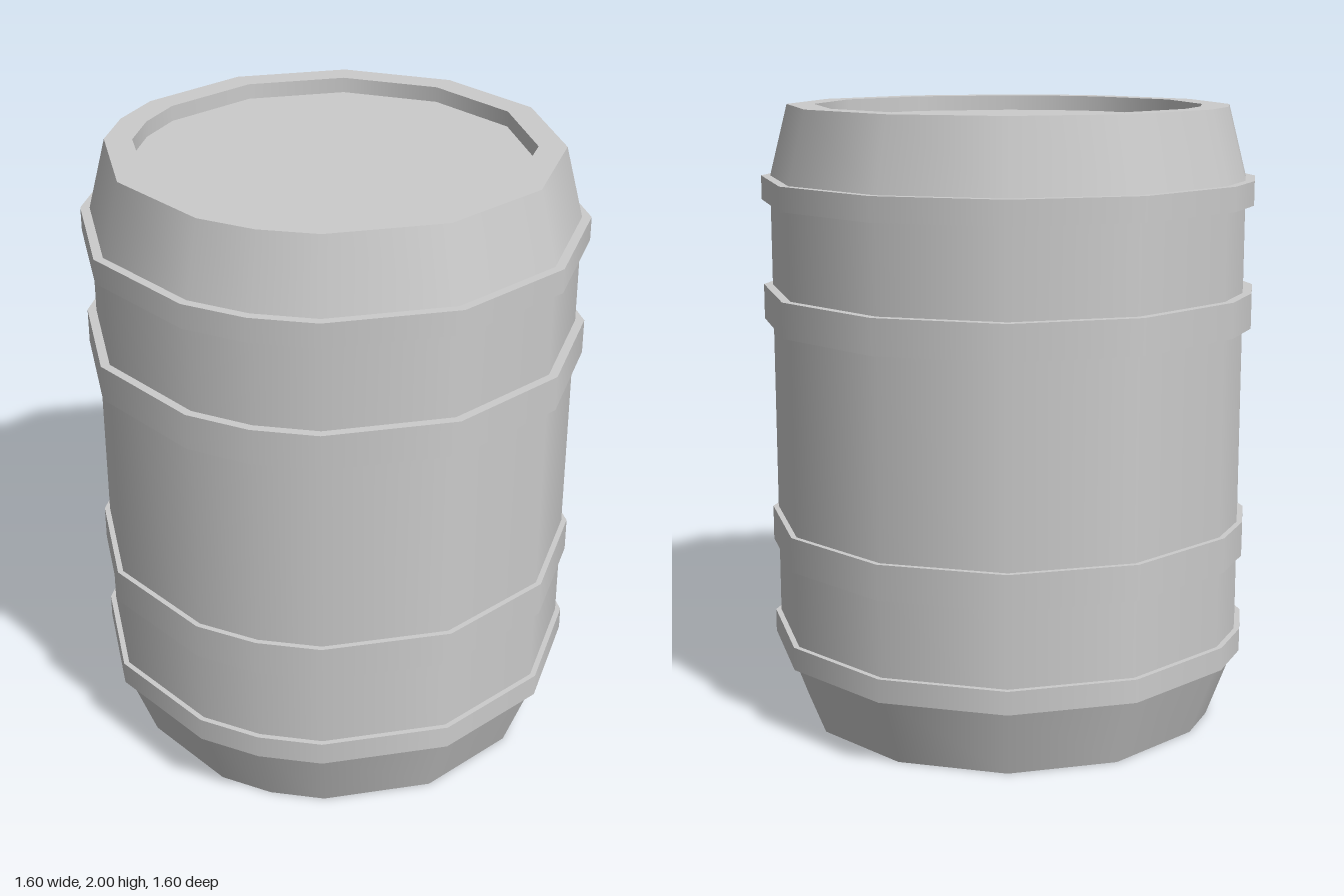
import * as THREE from 'three';

// Stave corners: a 12-sided ring with two extra corners on the -x side
const ANGLES = [];
for (let i = 0; i < 12; i++) ANGLES.push(i * 30);
ANGLES.push(225, 315);
ANGLES.sort((a, b) => a - b);
ANGLES.push(360);

// Sweeps a profile of [radius, y] points round the ring: smooth around, sharp between profile segments
function sweep(profile) {
  const pos = [], nor = [], idx = [];
  for (let s = 0; s < profile.length - 1; s++) {
    const [r0, y0] = profile[s], [r1, y1] = profile[s + 1];
    const len = Math.hypot(r1 - r0, y1 - y0);
    const nr = (y1 - y0) / len, ny = (r0 - r1) / len;
    const base = pos.length / 3;
    ANGLES.forEach((deg, i) => {
      const a = THREE.MathUtils.degToRad(deg), sx = Math.sin(a), cz = Math.cos(a);
      pos.push(r0 * sx, y0, r0 * cz, r1 * sx, y1, r1 * cz);
      nor.push(nr * sx, ny, nr * cz, nr * sx, ny, nr * cz);
      if (i < ANGLES.length - 1) {
        const k = base + i * 2;
        if (r0 > 0) idx.push(k, k + 2, k + 1);
        if (r1 > 0) idx.push(k + 2, k + 3, k + 1);
        if (r0 === 0) idx.push(k, k + 3, k + 1);
        if (r1 === 0) idx.length -= 0;
      }
    });
  }
  const g = new THREE.BufferGeometry();
  g.setAttribute('position', new THREE.Float32BufferAttribute(pos, 3));
  g.setAttribute('normal', new THREE.Float32BufferAttribute(nor, 3));
  g.setIndex(idx);
  return g;
}

export function createModel() {
  const group = new THREE.Group();
  const material = new THREE.MeshStandardMaterial({ color: 0xcccccc });
  const add = (name, profile) => {
    const mesh = new THREE.Mesh(sweep(profile), material);
    mesh.name = name;
    group.add(mesh);
  };

  // Barrel walls with tapered ends and rims
  add('barrelBody', [
    [0.62, 0.05], [0.62, 0], [0.682, 0], [0.769, 0.235],
    [0.769, 1.77], [0.71, 2], [0.622, 2], [0.622, 1.95],
  ]);

  // Recessed end panels
  add('bottomPanel', [[0, 0.05], [0.62, 0.05]]);
  add('lid', [[0.622, 1.95], [0, 1.95]]);

  // Raised hoops: [name, bottom, top, radius]
  const hoops = [
    ['lowestHoop', 0.23, 0.305, 0.787],
    ['lowerHoop', 0.555, 0.668, 0.787],
    ['upperHoop', 1.305, 1.418, 0.798],
    ['topHoop', 1.695, 1.772, 0.798],
  ];
  for (const [name, y0, y1, r] of hoops) {
    add(name, [[0.75, y0], [r, y0], [r, y1], [0.75, y1]]);
  }
  return group;
}
